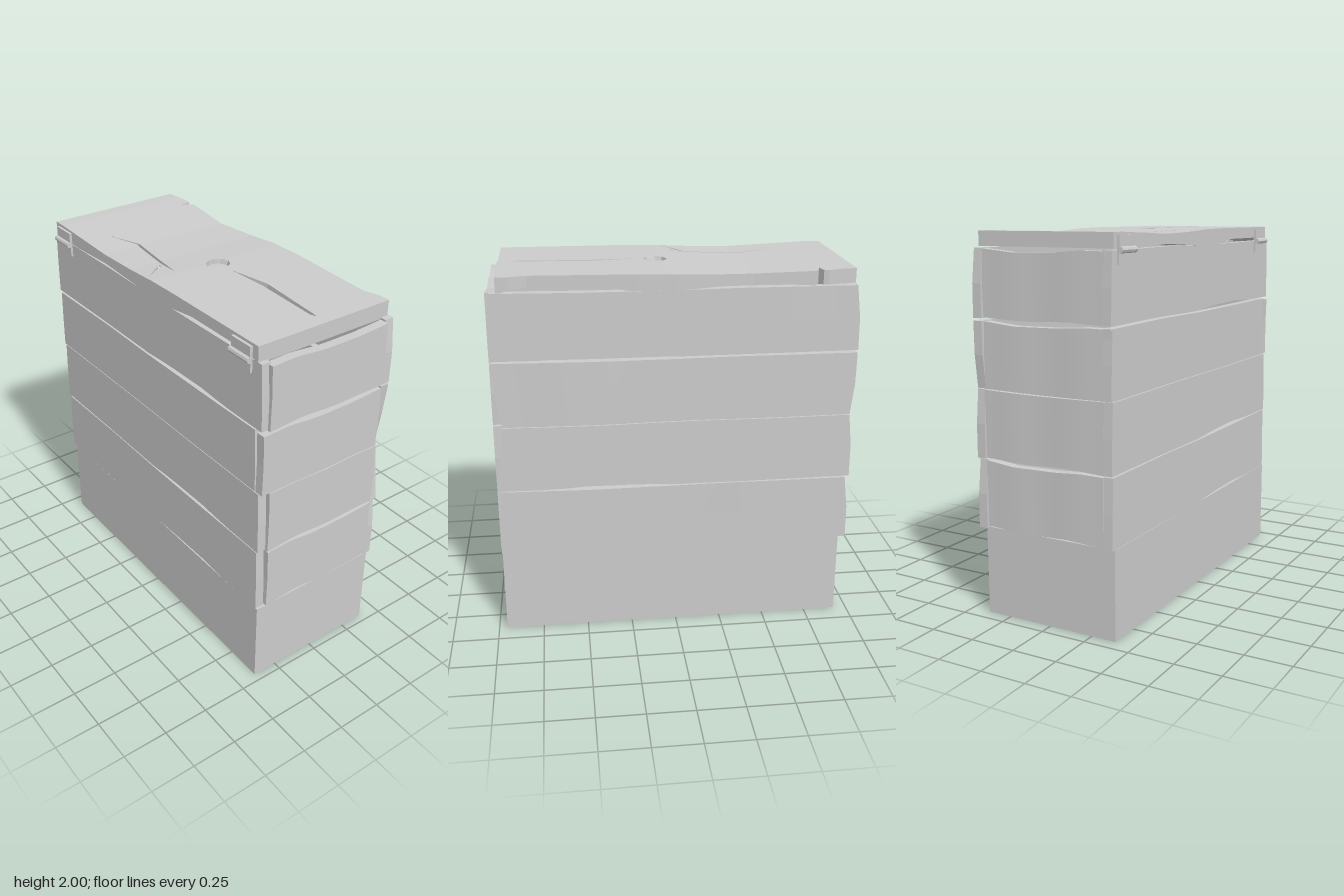
import * as THREE from 'three';

const material = new THREE.MeshStandardMaterial({ color: 0xcccccc, flatShading: true, side: THREE.DoubleSide });

function add(parent, name, geometry) {
  const mesh = new THREE.Mesh(geometry, material);
  mesh.name = name;
  parent.add(mesh);
  return mesh;
}

function box(parent, name, [x0, x1], [y0, y1], [z0, z1]) {
  const mesh = add(parent, name, new THREE.BoxGeometry(x1 - x0, y1 - y0, z1 - z0));
  mesh.position.set((x0 + x1) / 2, (y0 + y1) / 2, (z0 + z1) / 2);
  return mesh;
}

// Linear interpolation through [position, value] pairs, clamped at both ends
function sample(points, t) {
  if (t <= points[0][0]) return points[0][1];
  for (let i = 1; i < points.length; i++) {
    const [t0, v0] = points[i - 1], [t1, v1] = points[i];
    if (t <= t1) return v0 + (v1 - v0) * (t - t0) / (t1 - t0);
  }
  return points[points.length - 1][1];
}

// Weathered board running along x: wavy long edges, ends trimmed by [bottom, middle, top]
function boardGeometry(u0, u1, y0, y1, thickness, topWave, bottomWave, cut0 = [0, 0, 0], cut1 = [0, 0, 0], bulge = 0) {
  const g = new THREE.BoxGeometry(1, 1, thickness, 16, 2, 1);
  const p = g.attributes.position;
  for (let i = 0; i < p.count; i++) {
    const s = p.getX(i) + 0.5, v = p.getY(i) + 0.5, row = Math.round(v * 2);
    const start = u0 + cut0[row], end = u1 - cut1[row];
    const low = y0 + sample(bottomWave, s), high = y1 + sample(topWave, s);
    p.setXYZ(i, start + (end - start) * s, low + (high - low) * v,
      p.getZ(i) + bulge * Math.cos(s * Math.PI * 4));
  }
  g.computeVertexNormals();
  return g;
}

const courses = [[0.485, 0.845], [0.85, 1.208], [1.212, 1.56], [1.57, 1.92]];

// Short boards on the front and back, with matching gaps between courses
function buildEnds(group) {
  const spans = [[-0.335, 0.37], [-0.34, 0.37], [-0.388, 0.36], [-0.352, 0.36]];
  const tops = [0, 1, 0, 1].map((tight, i) => i === 1
    ? [[0, 0], [0.5, -0.006], [1, -0.002]]
    : [[0, -0.008], [0.2, -0.006], [0.4, -0.018], [0.75, -0.022], [1, -0.006]]);
  const bottom = [[0, -0.004], [0.3, 0.006], [0.6, -0.004], [0.8, -0.002], [1, 0.004]];
  const flat = [[0, 0], [0.5, -0.004], [1, 0]];
  courses.forEach(([y0, y1], i) => {
    for (const side of [1, -1]) {
      const board = add(group, side > 0 ? 'frontBoard' : 'backBoard',
        boardGeometry(...spans[i], y0, y1, 0.05, tops[i], i === 2 ? flat : bottom,
          [0, 0.004, 0], [0.004, 0, 0.006], 0.002));
      board.position.z = side > 0 ? 0.935 : -0.922;
    }
  });
}

// Long side boards, running along z with chipped ends
function buildSides(group) {
  const top = [[0, -0.004], [0.3, 0], [0.5, -0.006], [0.75, -0.004], [1, 0]];
  const bottom = [[0, 0], [0.25, 0.001], [0.5, -0.003], [0.6, 0.008], [0.75, 0.012], [0.85, 0], [1, 0]];
  const tight = [[0, 0], [0.4, 0.002], [0.7, -0.002], [1, 0]];
  const backCuts = [[0, 0.002, 0.024], [0.002, 0.003, 0.022], [0.022, 0.003, 0.001], [0, 0.002, 0.024]];
  const frontCuts = [[0, 0, 0.018], [0, 0.02, 0.046], [0.046, 0.02, 0], [0, 0, 0.018]];
  courses.forEach(([y0, y1], i) => {
    const lowWave = i === 2 ? tight : bottom, highWave = i === 1 ? tight : top;
    const right = boardGeometry(-0.96, 0.957, i ? y0 : 0.478, y1, 0.05, highWave, lowWave, backCuts[i], frontCuts[i], 0.004);
    right.rotateY(-Math.PI / 2);
    add(group, 'hingelessSideBoard', right).position.x = 0.389;
    const left = boardGeometry(-0.955, i === 2 ? 0.908 : 0.945, i ? y0 : 0.478, y1, 0.05, highWave, lowWave,
      [0, 0.004, 0.012], [0, 0.003, 0.012]);
    left.rotateY(-Math.PI / 2);
    add(group, 'hingeSideBoard', left).position.x = -0.365;
  });
}

// Lid lofted along z; its section carries grooves for cracks and a knot hole
function lidGeometry() {
  const edge = [[-0.93, 0.385], [-0.78, 0.405], [-0.755, 0.4], [-0.745, 0.335], [-0.73, 0.385], [-0.71, 0.405],
    [-0.4, 0.375], [0, 0.41], [0.2, 0.41], [0.75, 0.38], [0.84, 0.405], [0.905, 0.405]];
  const top = [[-0.93, 2], [-0.85, 2], [-0.7, 1.994], [-0.4, 1.982], [-0.15, 1.987], [0.05, 1.997], [0.25, 2]];
  const under = [[-0.93, 1.925], [-0.7, 1.92], [-0.4, 1.932], [0, 1.912], [0.2, 1.912], [0.4, 1.938], [0.83, 1.938], [0.905, 1.912]];
  // Each groove: centre line, half width and depth along z, ordered by x
  const grooves = [
    { x: [[-0.11, -0.245], [-0.09, -0.25], [0, -0.38]], w: [[-0.11, 0], [-0.09, 0.014], [0, 0]], d: [[-0.11, 0], [-0.09, 0.02], [0, 0]] },
    { x: [[-0.61, -0.235], [-0.57, -0.235], [-0.42, -0.172], [-0.12, -0.215], [0.02, -0.23]],
      w: [[-0.61, 0], [-0.42, 0.008], [-0.12, 0.008], [0.02, 0]], d: [[-0.61, 0], [-0.57, 0.02], [-0.02, 0.02], [0.02, 0]] },
    { x: [[0.13, 0.005], [0.18, 0.007], [0.42, 0.035], [0.8, 0.007], [0.83, 0.01]],
      w: [[0.009, 0], [0.01, 0.015], [0.03, 0.05], [0.07, 0.068], [0.115, 0.045], [0.132, 0.015], [0.133, 0],
        [0.18, 0], [0.42, 0.016], [0.8, 0.009], [0.83, 0]],
      d: [[0.009, 0], [0.01, 0.025], [0.132, 0.025], [0.133, 0], [0.18, 0], [0.2, 0.025], [0.8, 0.025], [0.83, 0]] },
  ];
  const stations = new Set([edge, top, under, ...grooves.flatMap(g => [g.x, g.w, g.d])].flat().map(q => q[0]));
  const zs = [...stations].sort((a, b) => a - b);
  const ring = 4 + grooves.length * 4, pos = [], index = [];
  for (const z of zs) {
    const right = sample(edge, z), y = sample(top, z), low = sample(under, z);
    pos.push(-0.39, low, z, right, low, z, right, y, z);
    for (const g of [...grooves].reverse()) {
      const c = sample(g.x, z), w = sample(g.w, z), d = sample(g.d, z);
      pos.push(c + w, y, z, c + w * 0.85, y - d, z, c - w * 0.85, y - d, z, c - w, y, z);
    }
    pos.push(-0.39, y, z);
  }
  for (let k = 0; k < zs.length - 1; k++) {
    for (let i = 0; i < ring; i++) {
      const a = k * ring + i, b = k * ring + (i + 1) % ring;
      index.push(a, b, b + ring, a, b + ring, a + ring);
    }
  }
  const last = (zs.length - 1) * ring;
  for (let i = 1; i < ring - 1; i++) index.push(last, last + i, last + i + 1, 0, i + 1, i);
  const g = new THREE.BufferGeometry();
  g.setAttribute('position', new THREE.Float32BufferAttribute(pos, 3));
  g.setIndex(index);
  g.computeVertexNormals();
  return g;
}

// Two leaves and a barrel
function buildHinge(z) {
  const hinge = new THREE.Group();
  hinge.name = 'hinge';
  box(hinge, 'upperLeaf', [-0.405, -0.388], [1.925, 1.985], [-0.07, 0.07]);
  box(hinge, 'lowerLeaf', [-0.402, -0.388], [1.85, 1.91], [-0.07, 0.07]);
  const barrel = add(hinge, 'hingeBarrel', new THREE.CylinderGeometry(0.016, 0.016, 0.145, 8).rotateX(Math.PI / 2));
  barrel.position.set(-0.408, 1.918, 0);
  hinge.position.z = z;
  return hinge;
}

export function createModel() {
  const group = new THREE.Group();
  group.name = 'woodenChest';
  box(group, 'base', [-0.388, 0.388], [0, 0.475], [-0.927, 0.955]);
  buildEnds(group);
  buildSides(group);
  add(group, 'lid', lidGeometry());
  for (const z of [-0.83, 0.795]) group.add(buildHinge(z));
  return group;
}
